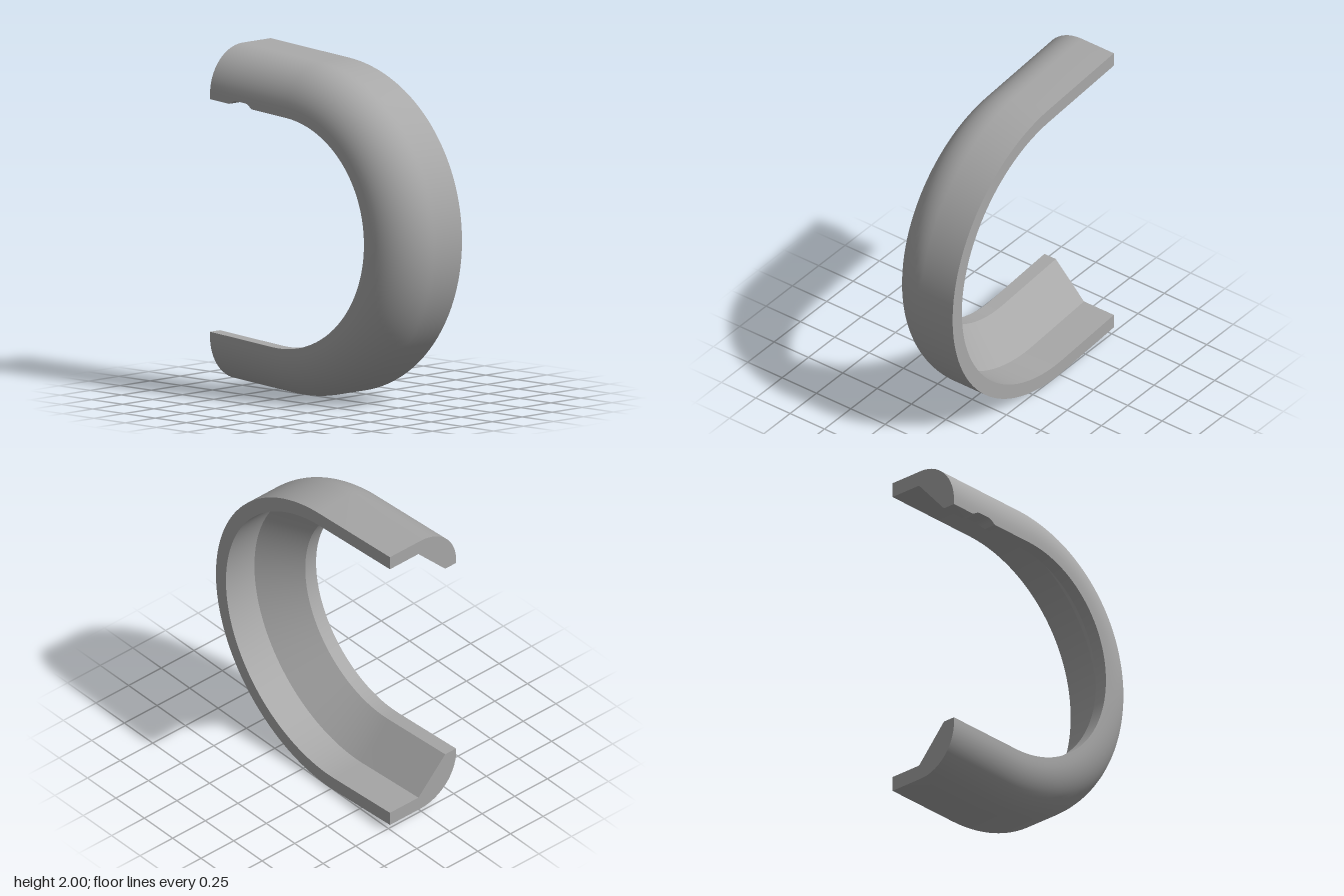
import * as THREE from 'three';
import { toCreasedNormals } from 'three/addons/utils/BufferGeometryUtils.js';

const CX = -0.213, CY = 0.978;      // bend centre
const R_OUT = 0.978, R_IN = 0.678;  // outer and inner bend radius
const END_X = -0.767;               // both legs are cut off here
const TILT = THREE.MathUtils.degToRad(4.25);
const START = Math.PI / 2 - TILT, STOP = -Math.PI / 2 - TILT;

// Closed cross-section as [radius, z]; notch raises the thin front lip
function section(notch) {
  const pts = [[R_OUT, -0.253]];
  const r = 0.272, steps = 14;
  for (let i = 0; i <= steps; i++) {
    const a = (i / steps) * Math.PI / 2;
    pts.push([R_OUT - r + r * Math.cos(a), 0.253 - r + r * Math.sin(a)]);
  }
  const lip = R_IN + notch;
  pts.push([Math.min(lip, R_OUT - r), 0.253], [lip, 0.17 - notch * 0.97]);
  pts.push([0.89, -0.035], [0.89, -0.253]);
  return pts;
}

// Ring on the bend at a given angle
function bendRing(angle) {
  return section(0).map(([u, z]) => [CX + u * Math.cos(angle), CY + u * Math.sin(angle), z]);
}

// Ring on a straight leg, cut by a plane of constant x
function legRing(angle, x, notched) {
  const c = Math.cos(angle), s = Math.sin(angle);
  const yAt = u => CY + u * s - (x - CX - u * c) * c / s;
  let notch = 0;
  if (notched) {
    const h = 0.125 ** 2 - (x + 0.53) ** 2;
    notch = THREE.MathUtils.clamp(1.59 + Math.sqrt(Math.max(h, 0)) - yAt(R_IN), 0, 0.026);
  }
  return section(notch).map(([u, z]) => [x, yAt(u), z]);
}

function hookGeometry() {
  // Upper leg with notch, bend, lower leg
  const rings = [legRing(START, END_X, false)];
  for (let i = 0; i <= 16; i++) rings.push(legRing(START, -0.615 + i * 0.0112, true));
  const bends = 72;
  for (let i = 0; i <= bends; i++) rings.push(bendRing(START + (STOP - START) * i / bends));
  rings.push(legRing(STOP, END_X, false));

  const n = rings[0].length, index = [];
  for (let i = 0; i < rings.length - 1; i++) {
    for (let j = 0; j < n; j++) {
      const k = (j + 1) % n;
      const a = i * n + j, b = i * n + k, c = (i + 1) * n + k, d = (i + 1) * n + j;
      index.push(a, b, c, a, c, d);
    }
  }
  // Flat cut ends
  const outline = section(0).map(([u, z]) => new THREE.Vector2(u, z));
  const last = (rings.length - 1) * n;
  for (const [a, b, c] of THREE.ShapeUtils.triangulateShape(outline, [])) {
    index.push(c, b, a, last + a, last + b, last + c);
  }
  const geo = new THREE.BufferGeometry();
  geo.setAttribute('position', new THREE.Float32BufferAttribute(rings.flat(2), 3));
  geo.setIndex(index);
  return toCreasedNormals(geo, 0.45);
}

export function createModel() {
  const grey = new THREE.MeshStandardMaterial({ color: 0xa8a8a8 });
  grey.name = 'plain grey';
  const hook = new THREE.Mesh(hookGeometry(), grey);
  hook.name = 'curvedTrimShell';
  const group = new THREE.Group();
  group.name = 'curvedTrim';
  group.add(hook);
  return group;
}
